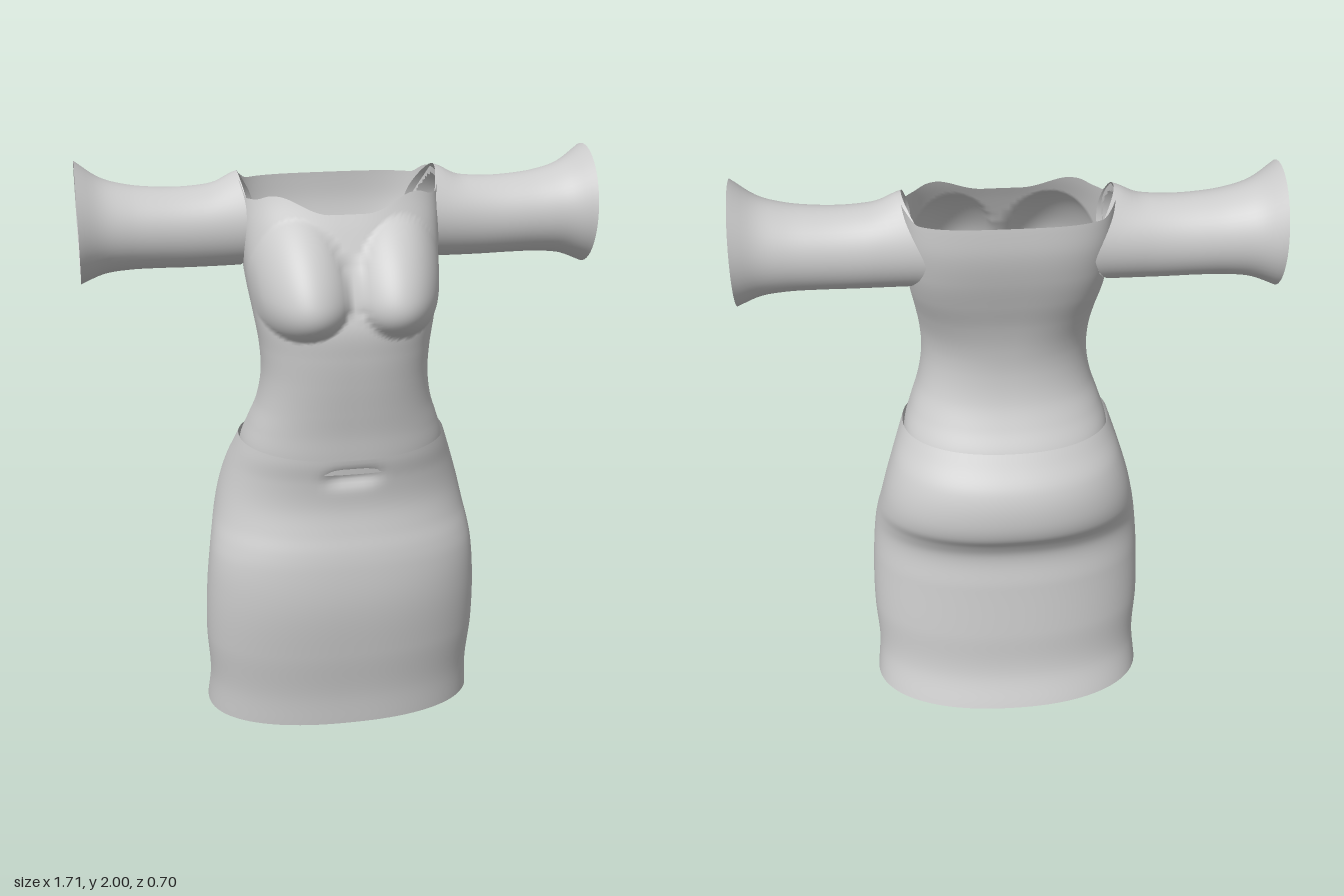
import * as THREE from 'three';

const fabric = new THREE.MeshStandardMaterial({ color: 0xcccccc, side: THREE.DoubleSide });
fabric.name = 'greyFabric';

// smooth lookup through rows of [position, value, value, ...]
function profile(rows) {
  const size = rows[0].length - 1;
  const curve = new THREE.CubicInterpolant(rows.map(r => r[0]), rows.flatMap(r => r.slice(1)), size, new Float32Array(size));
  return t => Array.from(curve.evaluate(t));
}

const smooth = THREE.MathUtils.smoothstep;
const power = (v, e) => Math.sign(v) * Math.pow(Math.abs(v), e);

// closed rings joined into a tube; point(a, v) gives a position, skip(p) leaves holes
function tube(name, point, rows, sides, flip = false, skip = () => false) {
  const pos = [], index = [];
  for (let j = 0; j <= rows; j++) {
    for (let i = 0; i < sides; i++) pos.push(...point((i / sides) * Math.PI * 2, j / rows));
  }
  const at = k => pos.slice(k * 3, k * 3 + 3);
  for (let j = 0; j < rows; j++) {
    for (let i = 0; i < sides; i++) {
      const n = (i + 1) % sides;
      const a = j * sides + i, b = j * sides + n, c = b + sides, d = a + sides;
      const pa = at(a), pc = at(c);
      if (skip(pa.map((v, k) => (v + pc[k]) / 2))) continue;
      index.push(...(flip ? [a, b, d, b, c, d] : [a, d, b, b, d, c]));
    }
  }
  const geo = new THREE.BufferGeometry();
  geo.setAttribute('position', new THREE.Float32BufferAttribute(pos, 3));
  geo.setIndex(index);
  geo.computeVertexNormals();
  const mesh = new THREE.Mesh(geo, fabric);
  mesh.name = name;
  return mesh;
}

// rounded cross-section from half width, front z and back z
function ring(a, w, front, back, nFront, nBack) {
  const s = Math.sin(a), n = s > 0 ? nFront : nBack;
  const mid = (front + back) / 2, depth = (front - back) / 2;
  return [w * power(Math.cos(a), 2 / n), mid + depth * power(s, 2 / n)];
}

// y, half width, front z, back z
const skirtShape = profile([
  [0, 0.485, 0.22, -0.34], [0.12, 0.475, 0.23, -0.295], [0.3, 0.485, 0.26, -0.28],
  [0.5, 0.48, 0.282, -0.262], [0.64, 0.467, 0.277, -0.252], [0.7, 0.457, 0.268, -0.28],
  [0.76, 0.445, 0.253, -0.322], [0.85, 0.425, 0.237, -0.337], [0.95, 0.395, 0.243, -0.315],
  [1.02, 0.37, 0.256, -0.265], [1.07, 0.352, 0.26, -0.23],
]);
const bodiceShape = profile([
  [0.98, 0.355, 0.245, -0.25], [1.05, 0.348, 0.252, -0.225], [1.12, 0.325, 0.258, -0.185],
  [1.2, 0.297, 0.27, -0.15], [1.3, 0.281, 0.285, -0.135], [1.4, 0.285, 0.296, -0.142],
  [1.5, 0.3, 0.298, -0.165], [1.6, 0.316, 0.265, -0.2], [1.7, 0.326, 0.222, -0.232],
  [1.8, 0.332, 0.178, -0.253], [1.88, 0.333, 0.14, -0.255], [1.96, 0.333, 0.11, -0.25],
]);
// x, centre y, half height, half depth
const sleeveShape = profile([
  [0.33, 1.785, 0.145, 0.135], [0.4, 1.777, 0.138, 0.128], [0.5, 1.772, 0.133, 0.126],
  [0.6, 1.774, 0.133, 0.13], [0.7, 1.78, 0.14, 0.139], [0.78, 1.788, 0.158, 0.155],
  [0.855, 1.8, 0.2, 0.188],
]);
const armZ = -0.076;

function skirtPoint(a, v) {
  const y = v * (1.035 + 0.025 * Math.cos(a) ** 2 + (Math.sin(a) < 0 ? 0.025 * Math.sin(a) ** 2 : 0));
  let [x, z] = ring(a, ...skirtShape(y), 2.3, 2.2);
  // small tuck below the front waistband
  if (z > 0) z -= 0.022 * Math.exp(-((x / 0.085) ** 4)) * Math.exp(-(((y - 0.965) / 0.03) ** 2));
  return [x, y, z];
}

function bodicePoint(a, v) {
  const s = Math.sin(a), side = Math.abs(Math.cos(a));
  // scalloped neckline in front, almost level at the back
  const neck = s > 0
    ? 1.845 + 0.055 * smooth(side, 0.1, 0.6) - 0.015 * smooth(side, 0.65, 0.85) + 0.05 * smooth(side, 0.92, 1)
    : 1.9 + 0.035 * smooth(side, 0.75, 1);
  const y = 0.98 + v * (neck - 0.98);
  const high = smooth(y, 1.35, 1.7);
  let [x, z] = ring(a, ...bodiceShape(y), 2.4 + 0.2 * high, 2.3 + 1.1 * high);
  // rounded bust
  if (s > 0) {
    const dx = (Math.abs(x) - 0.17) / 0.155;
    const dy = (y - 1.6) / (y > 1.6 ? 0.23 : 0.135);
    const r = dx * dx + dy * dy;
    if (r < 1) z += (0.35 - 0.245) * Math.pow(1 - r, 0.85) * smooth(s, 0, 0.45);
  }
  return [x, y, z];
}

// armholes open into the sleeves
const inArmhole = ([x, y, z]) =>
  Math.abs(x) > 0.2 && ((y - 1.783) / 0.135) ** 2 + ((z - armZ) / 0.127) ** 2 < 1;

function sleevePoint(sign) {
  return (a, v) => {
    const c = Math.cos(a);
    const x = 0.33 + v * 0.525;
    const [cy, h, d] = sleeveShape(x);
    // inner edge follows the body and lifts to a small peak on the shoulder
    const start = 1 - smooth(v, 0, 0.18);
    const inset = (c > 0 ? 0.03 : 0.07) * c * c * start;
    const peak = 0.022 * Math.max(0, Math.sin(a)) ** 4 * start;
    return [sign * (x - inset), cy + h * Math.sin(a) + peak, armZ + d * c];
  };
}

export function createModel() {
  const dress = new THREE.Group();
  dress.name = 'dress';
  dress.add(tube('skirt', skirtPoint, 80, 96));
  dress.add(tube('bodice', bodicePoint, 96, 160, false, inArmhole));
  dress.add(tube('leftSleeve', sleevePoint(1), 28, 48, true));
  dress.add(tube('rightSleeve', sleevePoint(-1), 28, 48, false));
  return dress;
}
